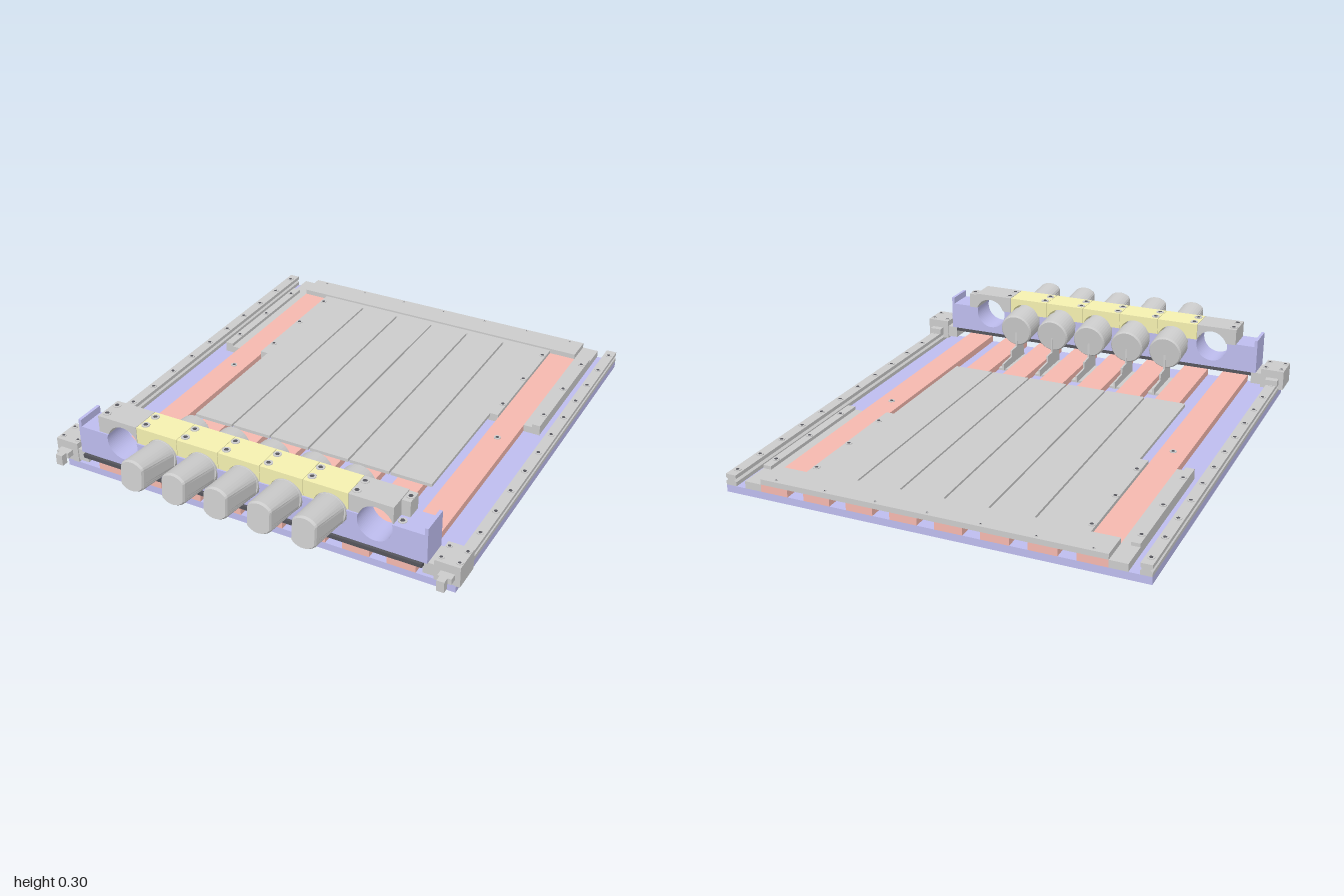
import * as THREE from 'three';

const mat = (color) => new THREE.MeshStandardMaterial({ color, flatShading: true, side: THREE.DoubleSide });

export function createModel() {
  const model = new THREE.Group();
  const grey = mat(0xcccccc), lilac = mat(0xbdbcee), pink = mat(0xf4b8ae), yellow = mat(0xf4f0b0);
  const dark = mat(0x55555c);

  const add = (name, geometry, material, parent = model) => {
    const mesh = new THREE.Mesh(geometry, material);
    mesh.name = name;
    parent.add(mesh);
    return mesh;
  };
  // Box given by its limits on each axis
  const box = (name, m, x0, x1, y0, y1, z0, z1, parent) => {
    const mesh = add(name, new THREE.BoxGeometry(x1 - x0, y1 - y0, z1 - z0), m, parent);
    mesh.position.set((x0 + x1) / 2, (y0 + y1) / 2, (z0 + z1) / 2);
    return mesh;
  };
  const pair = (name, m, x0, x1, ...rest) => {
    box(name, m, x0, x1, ...rest);
    box(name, m, -x1, -x0, ...rest);
  };
  // Screw head: a raised ring around a dark socket
  const screw = (x, y, z, r = 0.014, parent = model) => {
    const g = new THREE.Group();
    g.name = 'screw';
    g.position.set(x, y, z);
    add('screwHead', new THREE.CylinderGeometry(r, r, 0.006, 14), grey, g);
    add('screwSocket', new THREE.CylinderGeometry(r * 0.55, r * 0.55, 0.007, 6), dark, g);
    parent.add(g);
  };

  // Base and the spacer layer with channels
  const lanes = [-0.36, -0.18, 0, 0.18, 0.36];
  box('basePlate', lilac, -0.845, 0.845, 0, 0.03, -1, 0.78);
  const edges = [-0.54, ...lanes, 0.54];
  for (let i = 0; i < 6; i++) {
    const a = i === 0 ? -0.505 : edges[i] + 0.035;
    const b = i === 5 ? 0.505 : edges[i + 1] - 0.035;
    box('spacerStrip', pink, a, b, 0.03, 0.06, -1, 0.78);
    // Top panels leave a thin slit over every channel
    box('topPanel', grey, edges[i] + (i ? 0.004 : 0), edges[i + 1] - (i < 5 ? 0.004 : 0), 0.06, 0.074, -0.85, 0.32);
  }
  pair('sideSpacer', pink, 0.575, 0.69, 0.03, 0.06, -1, 0.78);
  box('panelBackEdge', grey, -0.54, 0.54, 0.06, 0.074, -0.88, -0.85);
  box('backBar', grey, -0.69, 0.69, 0.06, 0.082, -1, -0.88);
  for (let i = -3; i <= 3; i++) screw(i * 0.21, 0.081, -0.985, 0.006);

  // Guide strips beside the spacers
  pair('innerGuide', grey, 0.505, 0.575, 0.04, 0.074, -0.88, -0.26);
  pair('outerGuide', grey, 0.69, 0.725, 0.03, 0.06, -1, -0.26);
  pair('outerGuideLip', grey, 0.725, 0.76, 0.03, 0.074, -0.88, -0.26);
  pair('outerGuideEnd', grey, 0.69, 0.76, 0.03, 0.06, -1, -0.88);
  for (const s of [-1, 1]) {
    for (const z of [-0.82, -0.585, -0.35]) {
      screw(s * 0.56, 0.074, z);
      screw(s * 0.742, 0.074, z);
    }
    screw(s * 0.63, 0.06, -0.12);
    // Linear rail with a waisted section
    const rail = new THREE.Shape([[-0.022, 0.03], [0.022, 0.03], [0.022, 0.046], [0.013, 0.053], [0.022, 0.06],
      [0.022, 0.075], [-0.022, 0.075], [-0.022, 0.06], [-0.013, 0.053], [-0.022, 0.046]]
      .map(([x, y]) => new THREE.Vector2(x, y)));
    add('rail', new THREE.ExtrudeGeometry(rail, { depth: 1.78, bevelEnabled: false }), grey)
      .position.set(s * 0.823, 0, -1);
    for (let i = 0; i < 12; i++) screw(s * 0.823, 0.075, -0.955 + i * 0.147);
  }

  // Carriages riding on the rails
  for (const s of [-1, 1]) {
    const g = new THREE.Group();
    g.name = 'carriage';
    g.scale.x = s;
    box('carriageTop', grey, 0.77, 0.87, 0.085, 0.135, 0.685, 0.805, g);
    box('carriageOuterSide', grey, 0.85, 0.87, 0.05, 0.085, 0.685, 0.805, g);
    box('carriageInnerSide', grey, 0.77, 0.796, 0.05, 0.085, 0.685, 0.805, g);
    box('carriageSlider', grey, 0.796, 0.85, 0.076, 0.1, 0.655, 0.835, g);
    box('carriageWiper', grey, 0.805, 0.835, 0.055, 0.1, 0.835, 0.862, g);
    box('carriageBracket', grey, 0.725, 0.77, 0.06, 0.11, 0.69, 0.8, g);
    for (const x of [0.785, 0.855]) for (const z of [0.71, 0.78]) screw(x, 0.135, z, 0.012, g);
    model.add(g);
  }

  // Gantry beam: lower cradle with seven round seats
  const seats = [-0.54, ...lanes, 0.54];
  const R = 0.07, axisY = 0.208, split = 0.23;
  const ang = Math.asin((split - axisY) / R);
  const half = R * Math.cos(ang);
  const cradle = new THREE.Shape();
  cradle.moveTo(-0.745, 0.11);
  cradle.lineTo(-0.745, 0.26);
  cradle.lineTo(-0.732, 0.26);
  cradle.lineTo(-0.732, split);
  for (const x of seats) {
    cradle.lineTo(x - half, split);
    cradle.absarc(x, axisY, R, Math.PI - ang, Math.PI * 2 + ang, false);
  }
  cradle.lineTo(0.732, split);
  cradle.lineTo(0.732, 0.26);
  cradle.lineTo(0.745, 0.26);
  cradle.lineTo(0.745, 0.11);
  add('beamCradle', new THREE.ExtrudeGeometry(cradle, { depth: 0.12, bevelEnabled: false, curveSegments: 20 }), lilac)
    .position.z = 0.688;
  box('beamUnderBar', dark, -0.73, 0.73, 0.094, 0.11, 0.69, 0.82);

  // Clamp caps closing the seats from above
  const cap = (name, x0, x1, m, top) => {
    const s = new THREE.Shape();
    s.moveTo(x0, top);
    s.lineTo(x0, split);
    for (const x of seats.filter((v) => v > x0 && v < x1)) {
      s.lineTo(x - half, split);
      s.absarc(x, axisY, R, Math.PI - ang, ang, true);
    }
    s.lineTo(x1, split);
    s.lineTo(x1, top);
    add(name, new THREE.ExtrudeGeometry(s, { depth: 0.125, bevelEnabled: false, curveSegments: 16 }), m)
      .position.z = 0.677;
  };
  cap('endCap', -0.65, -0.474, grey, 0.3);
  cap('clampCap', -0.472, -0.291, yellow, 0.3);
  cap('clampCap', -0.289, -0.11, yellow, 0.3);
  cap('clampCap', -0.108, 0.069, yellow, 0.3);
  cap('clampCap', 0.071, 0.249, yellow, 0.3);
  cap('clampCap', 0.251, 0.431, yellow, 0.3);
  cap('endCap', 0.433, 0.61, grey, 0.3);
  box('endCapTab', grey, 0.61, 0.645, split, 0.295, 0.677, 0.74);
  for (const x of [-0.63, -0.45, -0.27, -0.09, 0.09, 0.27, 0.45, 0.63])
    for (const z of [0.707, 0.77]) screw(x, x > 0.6 && z > 0.74 ? split : x > 0.6 ? 0.295 : 0.3, z, 0.017);

  // Body from circular sections [z, radius, half width], flattened at the sides
  const bodyGeometry = (sections) => {
    const n = 40, pos = [], index = [];
    for (const [z, r, w] of sections)
      for (let i = 0; i < n; i++) {
        const a = (i / n) * Math.PI * 2;
        pos.push(THREE.MathUtils.clamp(r * Math.cos(a), -w, w), r * Math.sin(a), z);
      }
    for (let k = 0; k < sections.length - 1; k++)
      for (let i = 0; i < n; i++) {
        const a = k * n + i, b = k * n + (i + 1) % n;
        index.push(a, b, b + n, a, b + n, a + n);
      }
    const last = (sections.length - 1) * n;
    for (let i = 1; i < n - 1; i++) index.push(0, i + 1, i, last, last + i, last + i + 1);
    const g = new THREE.BufferGeometry();
    g.setAttribute('position', new THREE.Float32BufferAttribute(pos, 3));
    g.setIndex(index);
    return g;
  };
  const barrel = bodyGeometry([[-0.175, 0.068, 0.068], [-0.168, 0.074, 0.074], [-0.072, 0.074, 0.074],
    [-0.07, 0.067, 0.067], [0.065, 0.067, 0.067], [0.066, 0.066, 0.061], [0.24, 0.064, 0.049], [0.25, 0.059, 0.045]]);

  // Blade in side profile, drawn as (-z, y)
  const blade = new THREE.Shape([[-0.64, 0.16], [-0.66, 0.04], [-0.43, 0.04], [-0.43, 0.072], [-0.52, 0.076],
    [-0.52, 0.105], [-0.575, 0.108], [-0.575, 0.19]].map(([x, y]) => new THREE.Vector2(x, y)));
  const bladeGeometry = new THREE.ExtrudeGeometry(blade, { depth: 0.008, bevelEnabled: false });
  bladeGeometry.translate(0, 0, -0.004).rotateY(Math.PI / 2);

  // Five tilted tools, each with a blade running in its channel
  for (const x of lanes) {
    const body = add('toolBody', barrel, grey);
    body.position.set(x, 0.204, 0.748);
    body.rotation.x = -0.11;
    add('toolBlade', bladeGeometry, grey).position.x = x;
    box('bladeFoot', grey, x - 0.03, x + 0.03, 0.032, 0.042, 0.45, 0.65);
  }
  return model;
}
